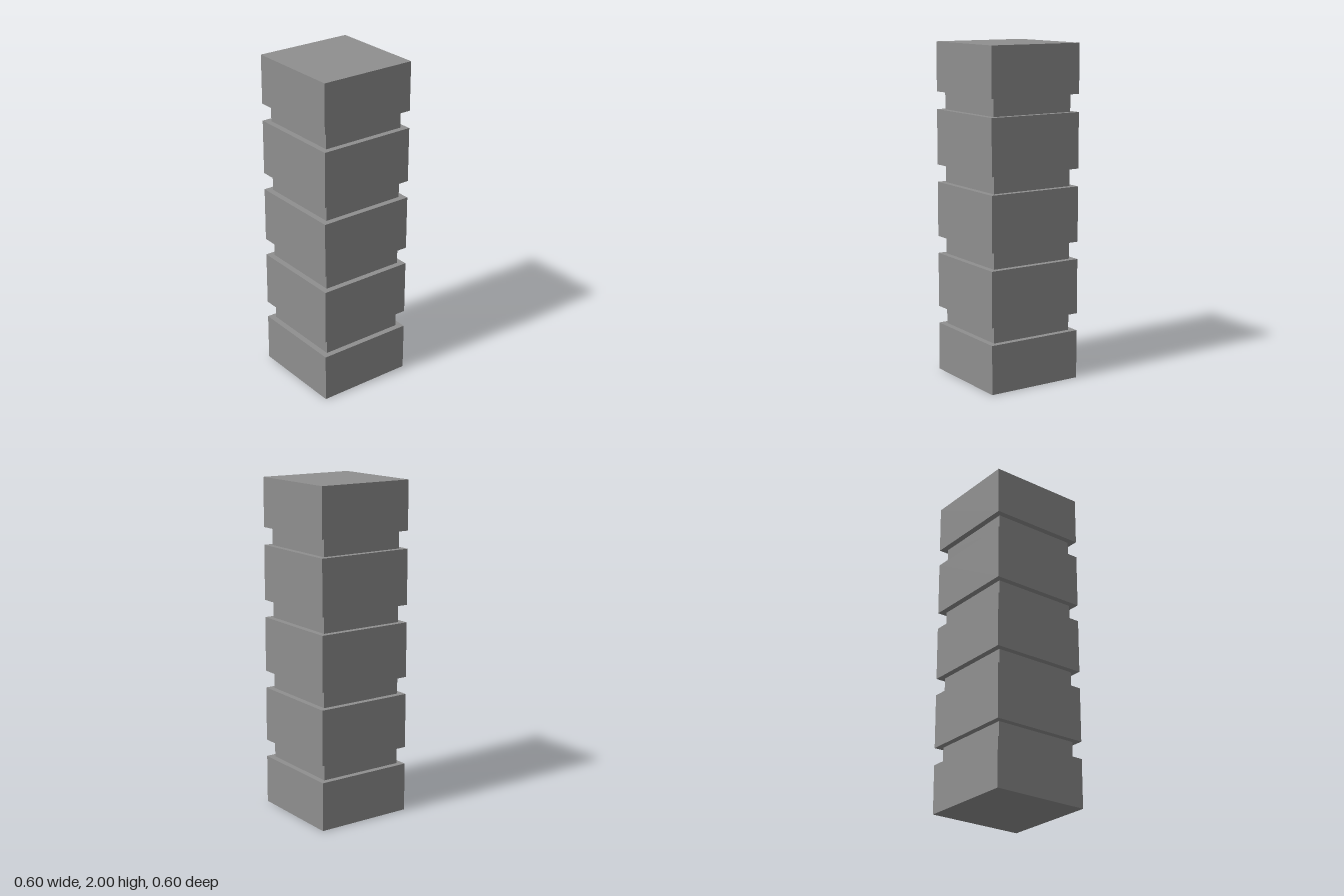
import * as THREE from 'three';

const HEIGHT = 2;
const BLOCK_HALF = 0.3;     // half width of the wide blocks
const GROOVE_HALF = 0.264;  // half width of the recessed bands
const GROOVE_HEIGHT = 0.105;
const GROOVE_PITCH = 0.436;
const GROOVES = 4;

export function createModel() {
  const group = new THREE.Group();
  group.name = 'groovedPillar';

  // Profile from bottom centre to top centre; corner radius = half width * sqrt(2)
  const point = (half, y) => new THREE.Vector2(half * Math.SQRT2, y);
  const profile = [point(0, 0), point(BLOCK_HALF, 0)];
  for (let i = 0; i < GROOVES; i++) {
    const middle = HEIGHT / 2 + (i - (GROOVES - 1) / 2) * GROOVE_PITCH;
    const low = middle - GROOVE_HEIGHT / 2;
    const high = middle + GROOVE_HEIGHT / 2;
    profile.push(
      point(BLOCK_HALF, low), point(GROOVE_HALF, low),
      point(GROOVE_HALF, high), point(BLOCK_HALF, high)
    );
  }
  profile.push(point(BLOCK_HALF, HEIGHT), point(0, HEIGHT));

  // Four-sided lathe, turned so its flat sides face the axes
  const pillar = new THREE.Mesh(
    new THREE.LatheGeometry(profile, 4, Math.PI / 4),
    new THREE.MeshStandardMaterial({ color: 0x8f8f8f, flatShading: true })
  );
  pillar.name = 'pillar';
  group.add(pillar);

  return group;
}
